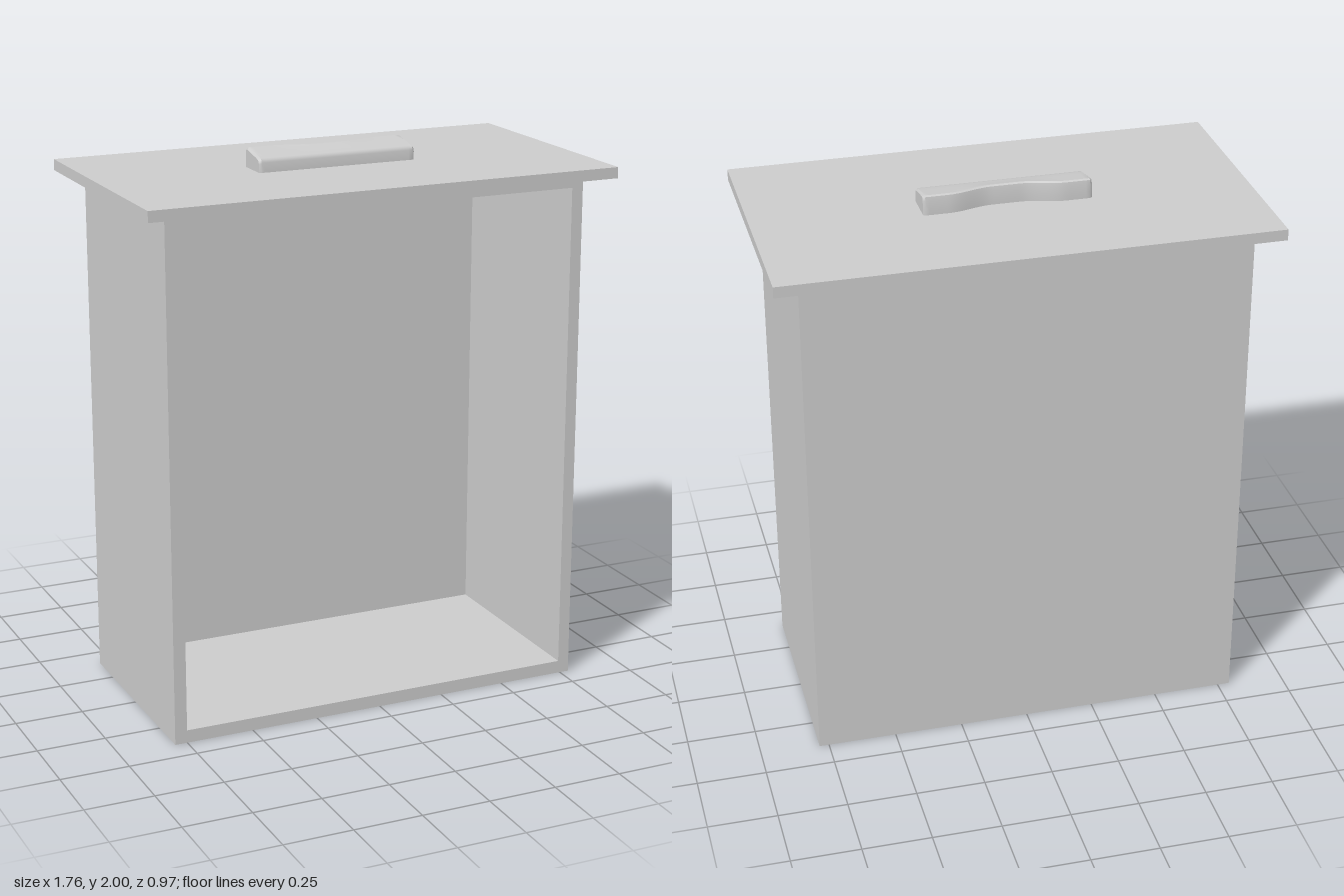
import * as THREE from 'three';
import { toCreasedNormals } from 'three/addons/utils/BufferGeometryUtils.js';

const material = new THREE.MeshStandardMaterial({ color: 0xcccccc });

function addMesh(group, name, geometry, x = 0, y = 0, z = 0) {
  const mesh = new THREE.Mesh(geometry, material);
  mesh.name = name;
  mesh.position.set(x, y, z);
  group.add(mesh);
}

function rectangle(PathType, x0, y0, x1, y1) {
  return new PathType([[x0, y0], [x1, y0], [x1, y1], [x0, y1]].map(p => new THREE.Vector2(...p)));
}

// Grip lofted along x: sloping rounded top, finger scoop along the back
function gripGeometry() {
  const x0 = -0.31, x1 = 0.29, steps = 40, mid = (x0 + x1) / 2;
  const xs = [x0];
  for (let i = 0; i <= steps; i++) xs.push(x0 + 0.008 + (x1 - x0 - 0.016) * i / steps);
  xs.push(x1);

  const positions = [], index = [];
  xs.forEach((x, i) => {
    const t = THREE.MathUtils.smoothstep(Math.abs(x - mid), 0.05, 0.21);
    const back = -0.04 - 0.031 * t;
    const inset = i === 0 || i === xs.length - 1 ? 0.006 : 0;
    const section = [
      [0.06, 1.925], [0.06, 1.965], [0.057, 1.975], [0.05, 1.98], [0.035, 1.984],
      [0, 1.991], [back + 0.022, 1.998], [back + 0.012, 2], [back + 0.005, 1.996],
      [back + 0.003, 1.985], [back, 1.95], [back, 1.925],
    ];
    const centre = (0.06 + back) / 2;
    for (const [z, y] of section) {
      positions.push(x, y > 1.96 ? y - inset : y, z - Math.sign(z - centre) * inset);
    }
  });

  const n = 12, last = (xs.length - 1) * n;
  for (let i = 0; i < xs.length - 1; i++) {
    for (let j = 0; j < n; j++) {
      const a = i * n + j, b = i * n + (j + 1) % n;
      index.push(a, a + n, b, a + n, b + n, b);
    }
  }
  for (let j = 1; j < n - 1; j++) {
    index.push(0, j, j + 1, last, last + j + 1, last + j);
  }
  const geometry = new THREE.BufferGeometry();
  geometry.setAttribute('position', new THREE.Float32BufferAttribute(positions, 3));
  geometry.setIndex(index);
  return toCreasedNormals(geometry, 0.7);
}

export function createModel() {
  const group = new THREE.Group();
  group.name = 'drawer';

  // Four walls around the open front, closed by the back panel
  const frame = rectangle(THREE.Shape, -0.795, 0, 0.785, 1.89);
  frame.holes.push(rectangle(THREE.Path, -0.75, 0.047, 0.742, 1.853));
  addMesh(group, 'walls', new THREE.ExtrudeGeometry(frame, { depth: 0.75, bevelEnabled: false }), 0, 0, -0.345);
  addMesh(group, 'backPanel', new THREE.BoxGeometry(1.58, 1.89, 0.05), -0.005, 0.945, -0.37);

  // Overhanging face plate
  addMesh(group, 'facePlate', new THREE.BoxGeometry(1.76, 0.04, 0.966), 0, 1.91, 0);

  addMesh(group, 'handle', gripGeometry());
  return group;
}
